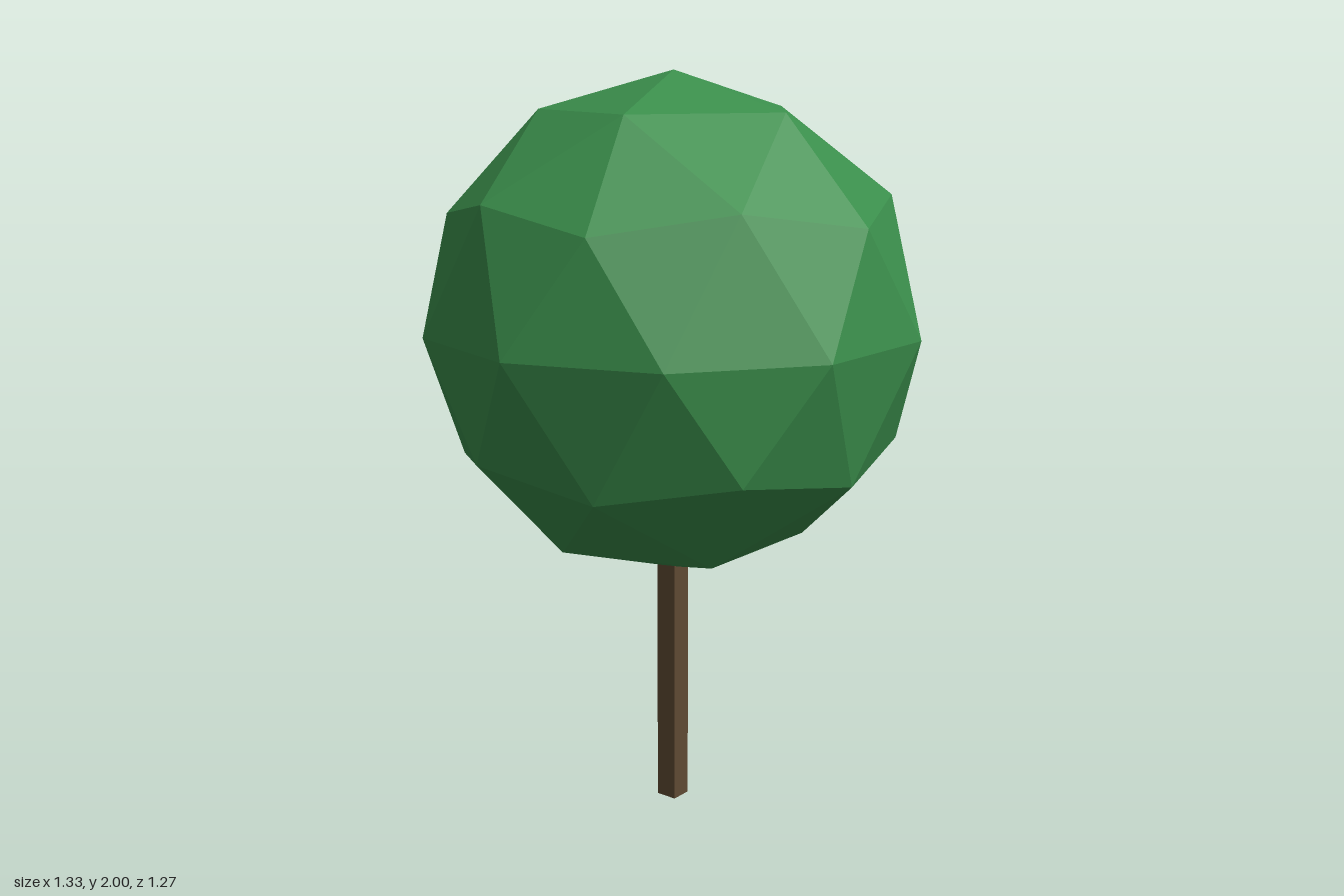
import * as THREE from 'three';

export function createModel() {
  const leafGreen = new THREE.MeshStandardMaterial({ color: 0x3b8f4c, flatShading: true });
  leafGreen.name = 'leafGreen';
  const barkBrown = new THREE.MeshStandardMaterial({ color: 0x5f4a33, flatShading: true });
  barkBrown.name = 'barkBrown';

  const tree = new THREE.Group();
  tree.name = 'tree';

  // Crown: faceted icosphere, turned so one corner points straight up and one upper corner faces front
  const radius = 0.667;
  const golden = (1 + Math.sqrt(5)) / 2;
  const crownShape = new THREE.IcosahedronGeometry(radius, 1);
  crownShape.rotateZ(Math.atan(1 / golden));
  crownShape.rotateY(Math.PI / 2);
  crownShape.computeVertexNormals();
  const crown = new THREE.Mesh(crownShape, leafGreen);
  crown.name = 'crown';
  crown.position.y = 2 - radius;
  tree.add(crown);

  // Trunk: slim square post, slightly off centre, its top sunk into the crown
  const trunkHeight = 0.7;
  const trunk = new THREE.Mesh(new THREE.BoxGeometry(0.06, trunkHeight, 0.06), barkBrown);
  trunk.name = 'trunk';
  trunk.position.set(-0.01, trunkHeight / 2, 0.005);
  tree.add(trunk);

  return tree;
}
